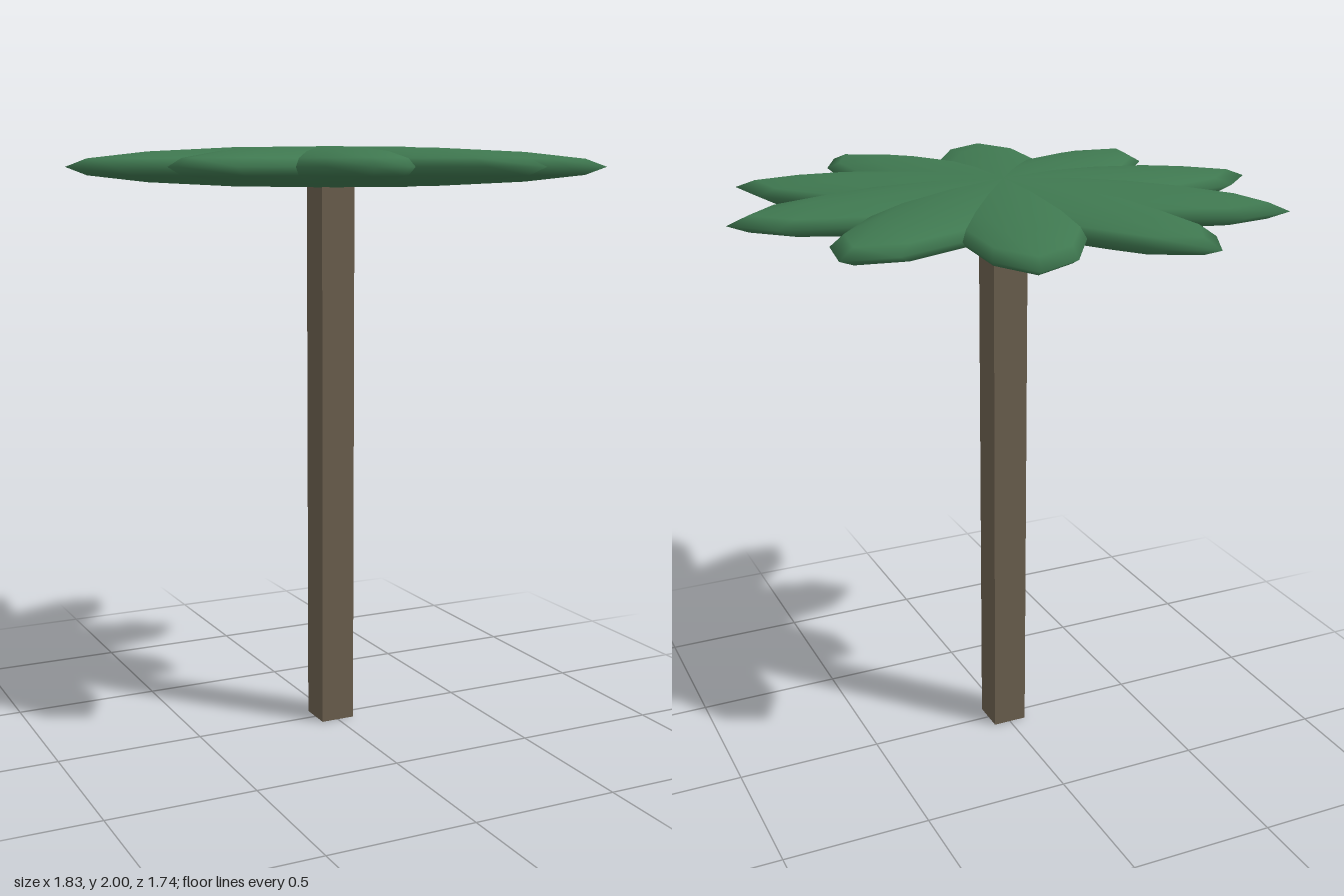
import * as THREE from 'three';

export function createModel() {
  const group = new THREE.Group();
  const bark = new THREE.MeshStandardMaterial({ color: 0x6b5f4e });
  const leaf = new THREE.MeshStandardMaterial({ color: 0x3f7850 });

  // square trunk, ending inside the crown
  const trunk = new THREE.Mesh(new THREE.BoxGeometry(0.12, 1.93, 0.12), bark);
  trunk.name = 'trunk';
  trunk.position.y = 1.93 / 2;
  group.add(trunk);

  // crown: flattened ellipsoids crossing at the centre, each forming two opposite fronds
  const crown = new THREE.Group();
  crown.name = 'crown';
  crown.position.y = 1.932;
  const frondGeometry = new THREE.SphereGeometry(1, 12, 8).scale(0.913, 0.068, 0.24);
  const pairs = 5;
  for (let i = 0; i < pairs; i++) {
    const frond = new THREE.Mesh(frondGeometry, leaf);
    frond.name = `frondPair${i + 1}`;
    frond.rotation.y = (i * Math.PI) / pairs;
    crown.add(frond);
  }
  group.add(crown);

  return group;
}
